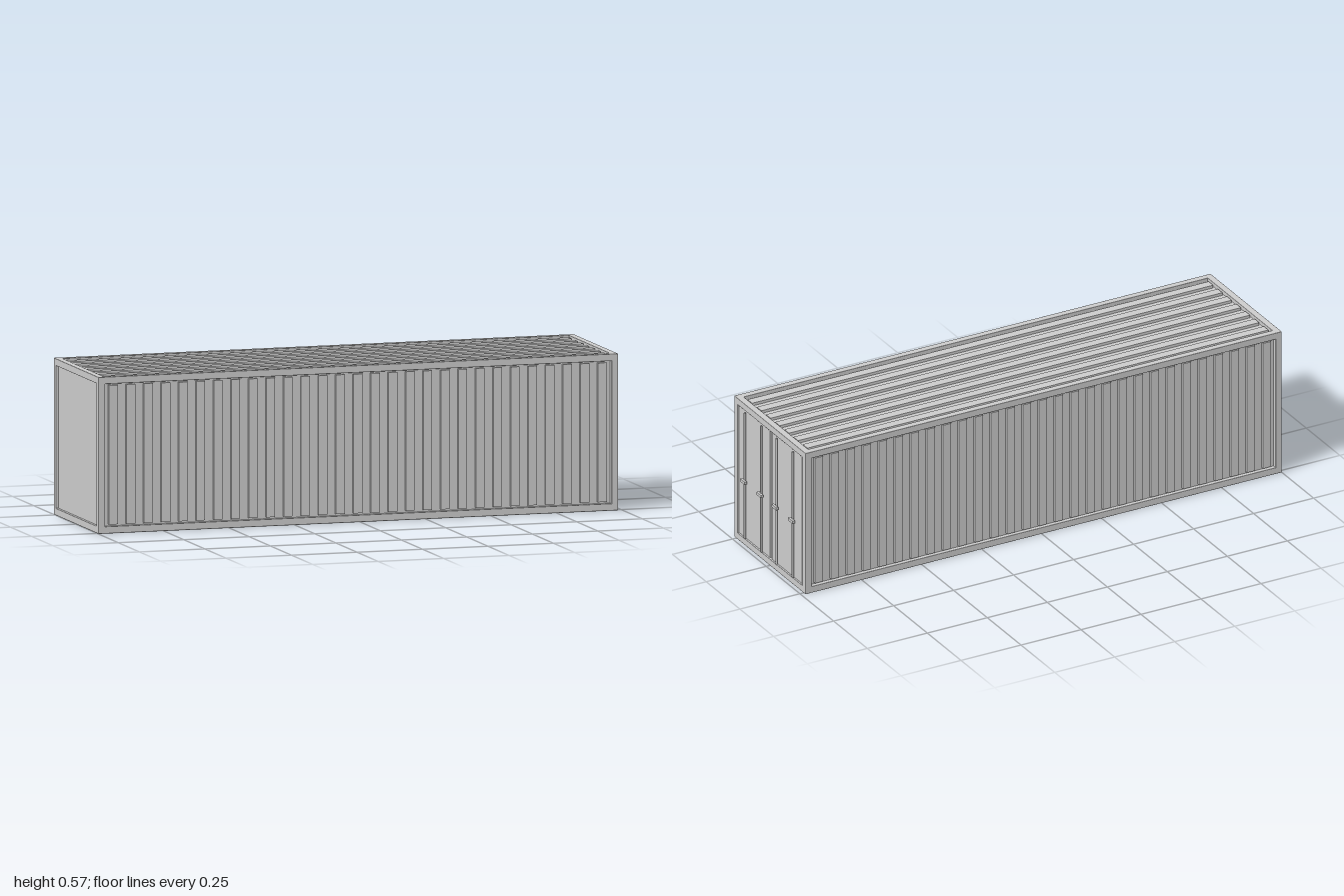
import * as THREE from 'three';
import { RoundedBoxGeometry } from 'three/addons/geometries/RoundedBoxGeometry.js';

export function createModel() {
  const model = new THREE.Group();
  model.name = 'shippingContainer';
  const mat = new THREE.MeshStandardMaterial({ color: 0xcccccc });

  // Outer extents of the body and the frame bar thickness
  const X0 = -1, X1 = 0.985, H = 0.575, Z = 0.265, T = 0.026;
  const L = X1 - X0, cx = (X0 + X1) / 2;
  const innerL = L - 2 * T, innerH = H - 2 * T, innerW = 2 * (Z - T);

  const add = (parent, name, geo, x, y, z) => {
    const mesh = new THREE.Mesh(geo, mat);
    mesh.name = name;
    mesh.position.set(x, y, z);
    parent.add(mesh);
    return mesh;
  };
  const group = (name) => {
    const g = new THREE.Group();
    g.name = name;
    model.add(g);
    return g;
  };
  const box = (w, h, d) => new THREE.BoxGeometry(w, h, d);
  const bar = (w, h, d) => new RoundedBoxGeometry(w, h, d, 1, 0.002);

  // Frame: rails, cross beams and corner posts
  const frame = group('frame');
  for (const s of [-1, 1]) {
    for (const y of [T / 2, H - T / 2]) {
      add(frame, 'longRail', bar(L, T, T), cx, y, s * (Z - T / 2));
      add(frame, 'crossBeam', bar(T, T, 2 * Z), cx + s * (L - T) / 2, y, 0);
    }
    for (const x of [X0 + T / 2, X1 - T / 2]) {
      add(frame, 'cornerPost', bar(T, H, T), x, H / 2, s * (Z - T / 2));
    }
  }

  // Long walls: recessed panel with upright ribs
  const recess = 0.016, ribDepth = 0.011, ribs = 29, pitch = innerL / ribs;
  const wallRib = box(pitch / 2, innerH - 0.012, ribDepth);
  for (const s of [-1, 1]) {
    const wall = group(s > 0 ? 'frontWall' : 'backWall');
    add(wall, 'wallPanel', box(innerL, innerH, 0.006), cx, H / 2, s * (Z - recess - 0.003));
    for (let i = 0; i < ribs; i++) {
      add(wall, 'wallRib', wallRib, X0 + T + (i + 0.5) * pitch, H / 2, s * (Z - recess + ribDepth / 2));
    }
  }

  // Roof: recessed panel with lengthwise ribs
  const roof = group('roof');
  const roofRibs = 7, roofPitch = innerW / roofRibs;
  add(roof, 'roofPanel', box(innerL, 0.006, innerW), cx, H - recess - 0.003, 0);
  for (let i = 0; i < roofRibs; i++) {
    add(roof, 'roofRib', box(innerL - 0.012, ribDepth, roofPitch / 2),
      cx, H - recess + ribDepth / 2, (i + 0.5 - roofRibs / 2) * roofPitch);
  }

  // Floor and closed end
  add(model, 'floor', box(innerL, 0.01, innerW), cx, 0.015, 0);
  add(model, 'endPanel', box(0.01, innerH, innerW), X0 + 0.015, H / 2, 0);

  // Door end: two leaves with a gap, each with two lock rods and handles
  const doors = group('doors');
  const gap = 0.006, clearance = 0.002;
  const leafW = innerW / 2 - gap - clearance;
  add(doors, 'doorBacking', box(0.006, innerH, innerW), X1 - 0.019, H / 2, 0);
  for (const s of [-1, 1]) {
    add(doors, 'doorLeaf', box(0.012, innerH - 2 * clearance, leafW), X1 - 0.011, H / 2, s * (gap + leafW / 2));
    for (const z of [0.056, 0.178]) {
      add(doors, 'lockRod', new THREE.CylinderGeometry(0.004, 0.004, 0.514, 12), 0.989, H / 2, s * z);
      add(doors, 'handle', box(0.01, 0.011, 0.034), 0.995, 0.266, s * z);
    }
  }
  return model;
}
